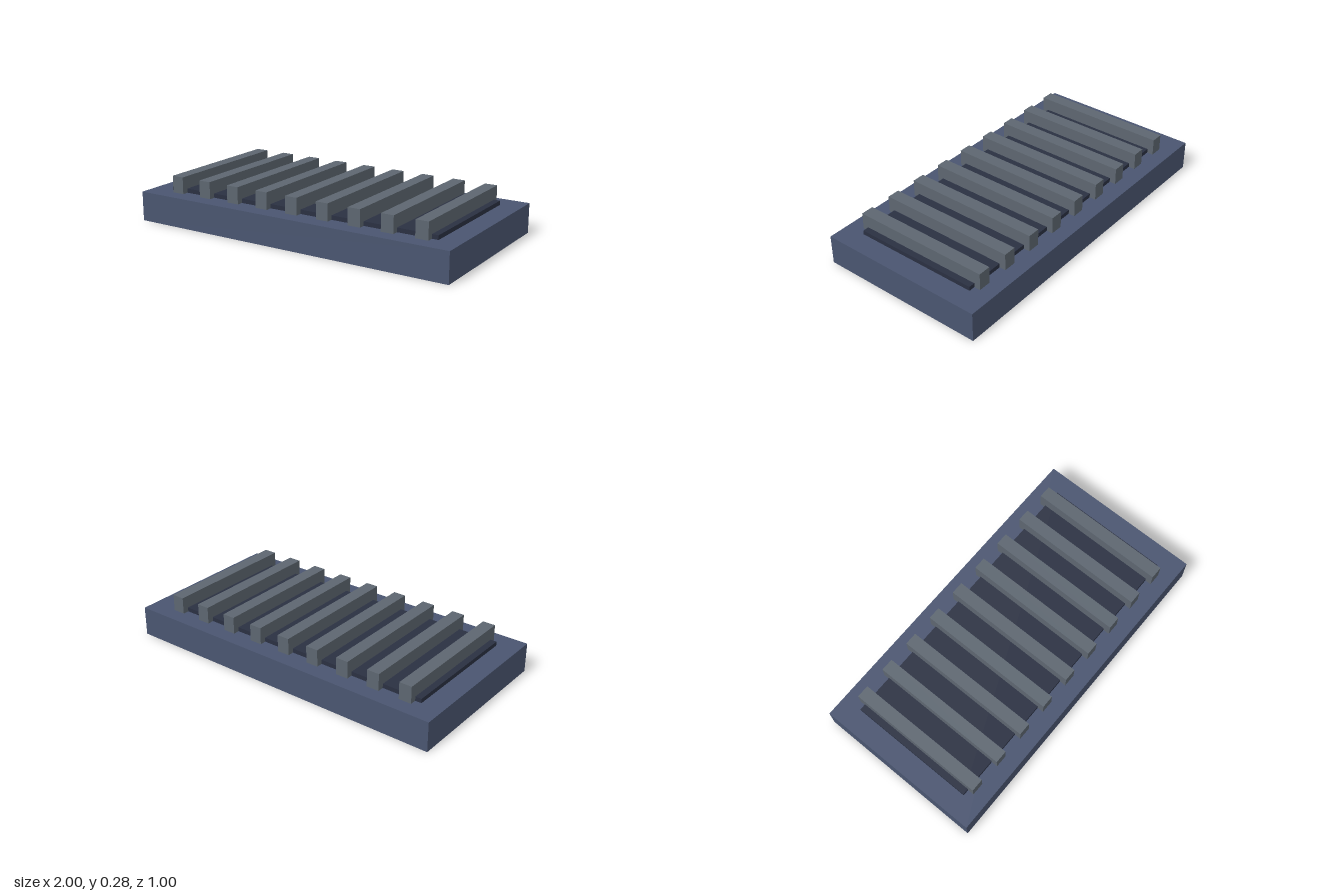
import * as THREE from 'three';

export function createModel() {
  const model = new THREE.Group();
  model.name = 'ventGrille';

  const baseMaterial = new THREE.MeshStandardMaterial({ color: 0x4a5570 });
  const recessMaterial = new THREE.MeshStandardMaterial({ color: 0x2a3042 });
  const slatMaterial = new THREE.MeshStandardMaterial({ color: 0x5d6670 });

  // Box standing on the height "bottom", centred in z
  function addBox(name, material, width, height, depth, x, bottom) {
    const mesh = new THREE.Mesh(new THREE.BoxGeometry(width, height, depth), material);
    mesh.name = name;
    mesh.position.set(x, bottom + height / 2, 0);
    model.add(mesh);
  }

  const baseHeight = 0.175;
  addBox('base', baseMaterial, 2, baseHeight, 1, 0, 0);

  // Dark panel behind the slats
  addBox('darkPanel', recessMaterial, 1.75, 0.025, 0.75, 0, baseHeight);

  // Nine evenly spaced slats running front to back
  const slatCount = 9;
  const slatSpacing = 0.2;
  for (let i = 0; i < slatCount; i++) {
    const x = (i - (slatCount - 1) / 2) * slatSpacing;
    addBox(`slat${i + 1}`, slatMaterial, 0.075, 0.1, 0.825, x, baseHeight);
  }

  return model;
}
